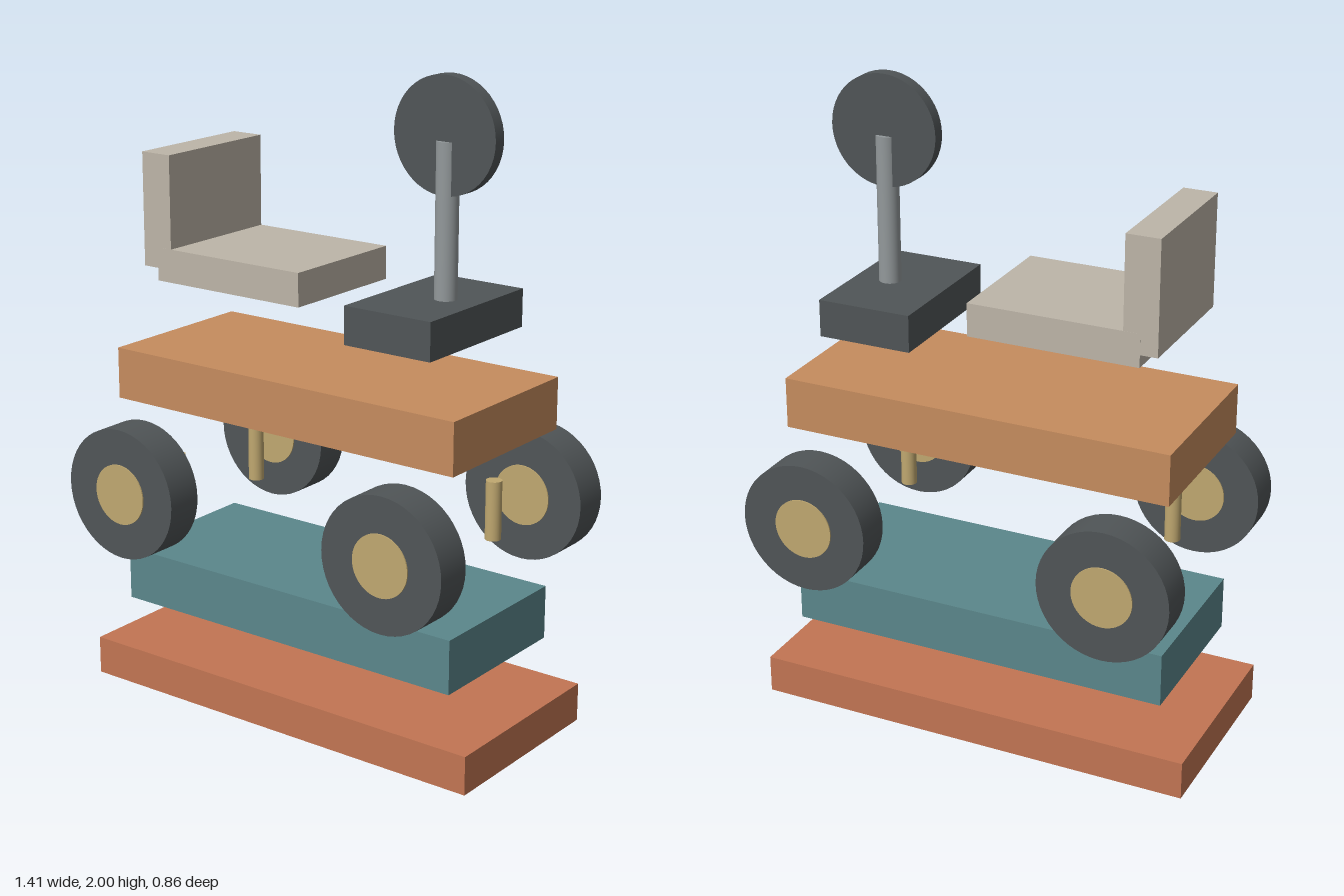
import * as THREE from 'three';

const paint = (name, color) => {
  const m = new THREE.MeshStandardMaterial({ color });
  m.name = name;
  return m;
};

export function createModel() {
  const model = new THREE.Group();
  model.name = 'explodedCart';

  const terracotta = paint('terracotta', 0xc27553);
  const teal = paint('teal', 0x5b878b);
  const wood = paint('wood', 0xc68c5e);
  const cream = paint('cream', 0xbdb5a8);
  const charcoal = paint('charcoal', 0x505557);
  const brass = paint('brass', 0xc0a870);
  const steel = paint('steel', 0x93999b);

  const add = (name, geometry, material, x, y, z) => {
    const mesh = new THREE.Mesh(geometry, material);
    mesh.name = name;
    mesh.position.set(x, y, z);
    model.add(mesh);
    return mesh;
  };
  // Box given by its x range, y range and half depth
  const slab = (name, material, x0, x1, y0, y1, halfZ) =>
    add(name, new THREE.BoxGeometry(x1 - x0, y1 - y0, 2 * halfZ), material, (x0 + x1) / 2, (y0 + y1) / 2, 0);
  // Disc with its axis along z
  const disc = (r, depth) => new THREE.CylinderGeometry(r, r, depth, 48).rotateX(Math.PI / 2);

  // Stacked body layers
  slab('basePlate', terracotta, -0.706, 0.706, 0, 0.121, 0.311);
  slab('chassis', teal, -0.611, 0.611, 0.267, 0.436, 0.259);
  slab('deck', wood, -0.623, 0.623, 0.934, 1.095, 0.273);

  // Seat
  slab('seatCushion', cream, -0.5, 0.038, 1.315, 1.418, 0.2165);
  slab('seatBack', cream, -0.554, -0.448, 1.354, 1.705, 0.216);

  // Steering
  slab('console', charcoal, 0.218, 0.516, 1.238, 1.354, 0.237);
  add('steeringColumn', new THREE.CylinderGeometry(0.034, 0.034, 0.464, 32), steel, 0.405, 1.58, 0);
  add('steeringWheel', disc(0.172, 0.042), charcoal, 0.405, 1.828, 0);

  // Wheels with hubs, and the upright pins beside them
  const tyre = disc(0.206, 0.12), hub = disc(0.095, 0.128);
  const pin = new THREE.CylinderGeometry(0.025, 0.025, 0.188, 24);
  for (const sx of [-1, 1]) {
    for (const sz of [-1, 1]) {
      const label = (sx > 0 ? 'Left' : 'Right') + (sz > 0 ? 'Front' : 'Back');
      add('wheel' + label, tyre, charcoal, sx * 0.488, 0.688, sz * 0.368);
      add('hub' + label, hub, brass, sx * 0.488, 0.688, sz * 0.368);
      add('pin' + label, pin, brass, sx * 0.46, 0.668, sz * 0.193);
    }
  }
  return model;
}
